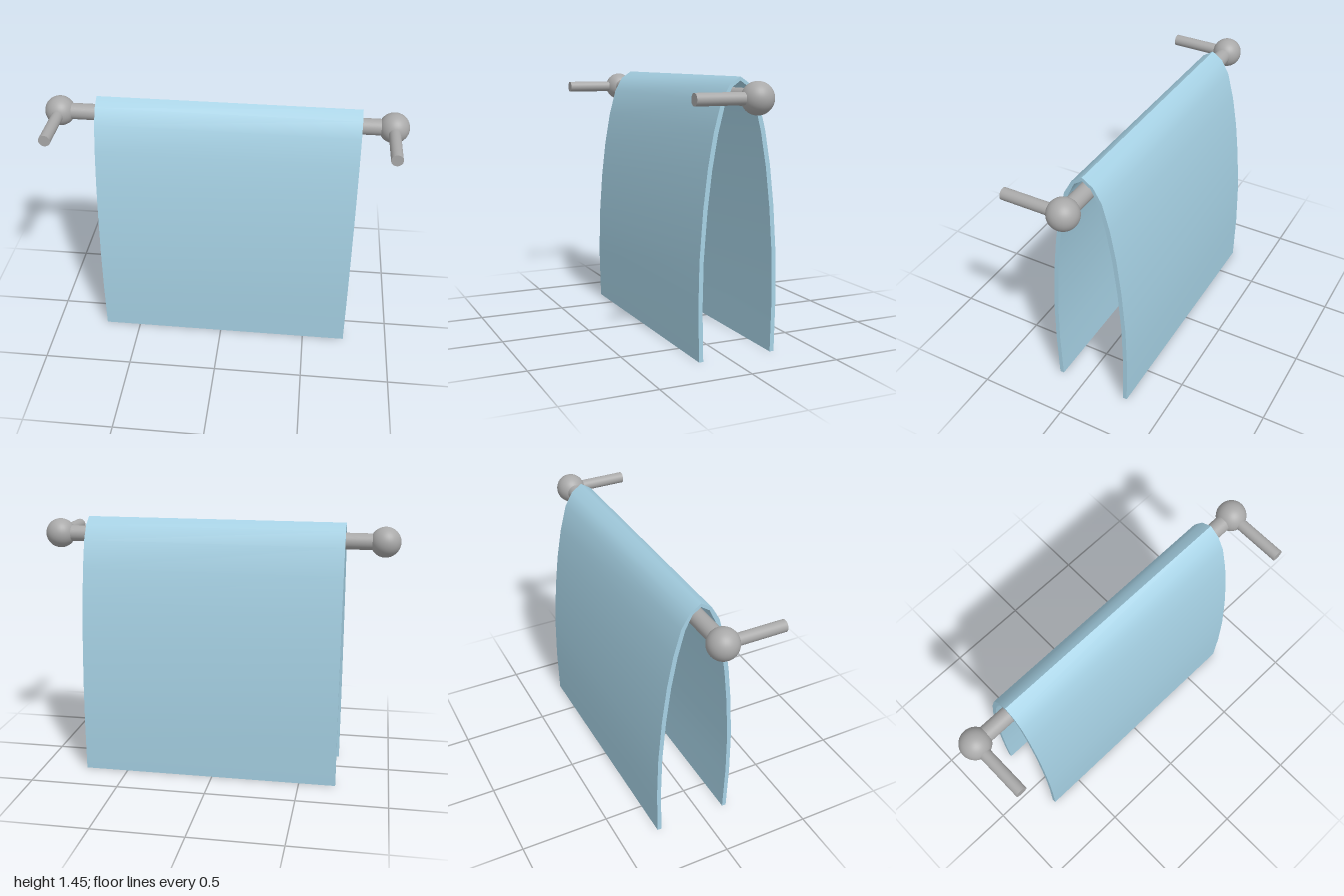
import * as THREE from 'three';
import { toCreasedNormals } from 'three/addons/utils/BufferGeometryUtils.js';

export function createModel() {
  const metal = new THREE.MeshStandardMaterial({ color: 0xa9a9a9 });
  metal.name = 'grey metal';
  const cloth = new THREE.MeshStandardMaterial({ color: 0xa6d1e4 });
  cloth.name = 'light blue cloth';

  const model = new THREE.Group();
  model.name = 'towelRail';
  const barY = 1.35, barZ = -0.055, ballX = 0.917;

  const add = (name, geometry, material, x, y, z, parent = model) => {
    const mesh = new THREE.Mesh(geometry, material);
    mesh.name = name;
    mesh.position.set(x, y, z);
    parent.add(mesh);
    return mesh;
  };

  // Horizontal bar
  add('bar', new THREE.CylinderGeometry(0.045, 0.045, 2 * ballX, 32).rotateZ(Math.PI / 2),
    metal, 0, barY, barZ);

  // End balls with the posts that reach forward
  const postEnd = 0.285, postLength = postEnd - barZ;
  for (const side of [-1, 1]) {
    const bracket = new THREE.Group();
    bracket.name = side > 0 ? 'leftBracket' : 'rightBracket';
    bracket.position.set(side * ballX, barY, barZ);
    model.add(bracket);
    add('ball', new THREE.SphereGeometry(0.083, 32, 24), metal, 0, 0, 0, bracket);
    add('post', new THREE.CylinderGeometry(0.032, 0.032, postLength, 32).rotateX(Math.PI / 2),
      metal, 0, 0, postLength / 2, bracket);
  }

  // Towel: half profiles as [distance from bar plane, height], bottom to crest
  const outer = [[0.221, 0], [0.227, 0.28], [0.222, 0.53], [0.203, 0.79], [0.178, 1.0],
    [0.146, 1.18], [0.106, 1.33], [0.06, 1.41], [0, 1.45]];
  const inner = [[0.197, 0], [0.203, 0.28], [0.198, 0.53], [0.179, 0.78], [0.154, 0.99],
    [0.122, 1.17], [0.084, 1.32], [0.046, 1.398], [0, 1.43]];
  // Arch from the +z hem over the crest to the -z hem
  const arch = (half) => [...half, ...half.slice(0, -1).reverse().map(([d, y]) => [-d, y])];
  const outline = [...arch(outer), ...arch(inner).reverse()];
  const shape = new THREE.Shape(outline.map(([d, y]) => new THREE.Vector2(d, y)));
  const width = 1.45;
  const towel = new THREE.ExtrudeGeometry(shape, { depth: width, bevelEnabled: false });
  towel.rotateY(-Math.PI / 2);
  add('towel', toCreasedNormals(towel, 0.7), cloth, 0.745, 0, barZ);

  return model;
}
